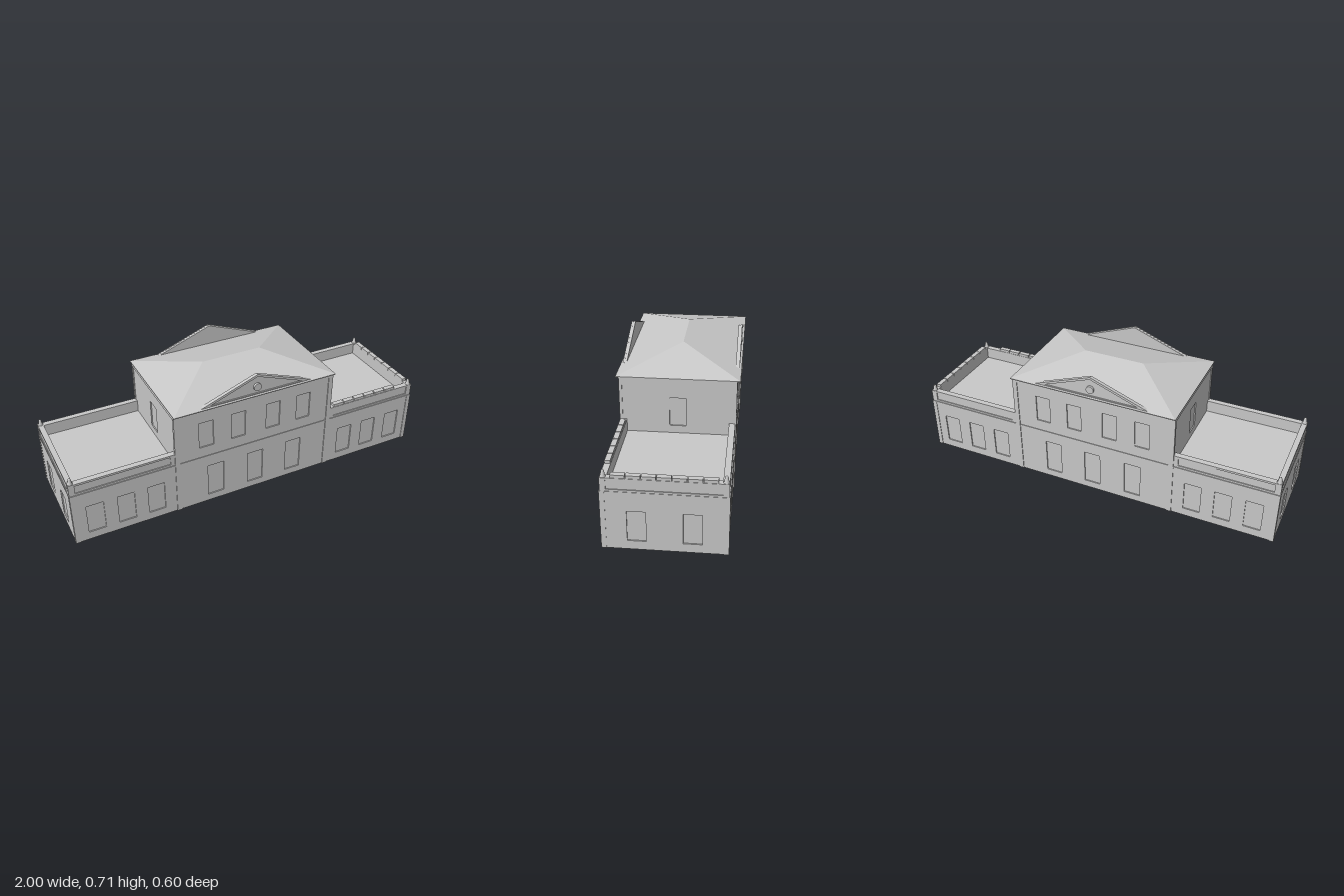
import * as THREE from 'three';
import { ConvexGeometry } from 'three/addons/geometries/ConvexGeometry.js';

const T = 0.006; // depth of the window recesses

export function createModel() {
  const model = new THREE.Group();
  const stone = new THREE.MeshStandardMaterial({ color: 0xc8c8c8 });
  stone.name = 'pale grey stone';

  function add(name, geometry) {
    const mesh = new THREE.Mesh(geometry, stone);
    mesh.name = name;
    model.add(mesh);
    return mesh;
  }
  // Box given by its limits on each axis
  function box(name, x0, x1, y0, y1, z0, z1) {
    const g = new THREE.BoxGeometry(Math.abs(x1 - x0), y1 - y0, Math.abs(z1 - z0));
    g.translate((x0 + x1) / 2, (y0 + y1) / 2, (z0 + z1) / 2);
    return add(name, g);
  }
  // Thin wall with rectangular openings [centre, width, bottom, top],
  // its outer face at a distance from the axis and turned about y
  function wall(name, w, y0, y1, openings, angle, dist, offset = 0, depth = T) {
    const shape = new THREE.Shape();
    shape.moveTo(-w / 2, y0).lineTo(w / 2, y0).lineTo(w / 2, y1).lineTo(-w / 2, y1).closePath();
    for (const [c, ow, b, t] of openings) {
      const hole = new THREE.Path();
      hole.moveTo(c - ow / 2, b).lineTo(c - ow / 2, t).lineTo(c + ow / 2, t).lineTo(c + ow / 2, b).closePath();
      shape.holes.push(hole);
    }
    const g = new THREE.ExtrudeGeometry(shape, { depth, bevelEnabled: false });
    g.translate(offset, 0, dist - depth).rotateY(angle);
    return add(name, g);
  }

  // Central block
  box('mainBlock', -0.444, 0.444, 0, 0.592, -0.277, 0.277);
  const mainOpenings = [
    ...[-0.23, 0, 0.23].map(c => [c, 0.09, 0.04, 0.23]),
    ...[-0.28, -0.1, 0.1, 0.28].map(c => [c, 0.08, 0.36, 0.51]),
  ];
  for (const a of [0, Math.PI]) {
    wall('mainWall', 0.9, 0, 0.592, mainOpenings, a, 0.283);
    wall('mainBeltCourse', 0.9, 0.292, 0.3, [], a, 0.286, 0, 0.004);
    wall('mainFrieze', 0.9, 0.568, 0.592, [], a, 0.286, 0, 0.004);
  }
  for (const s of [-1, 1]) {
    wall('mainSideWall', 0.56, 0.29, 0.592, [[0, 0.08, 0.34, 0.49]], s * Math.PI / 2, 0.45);
    wall('mainSideFrieze', 0.566, 0.568, 0.592, [], s * Math.PI / 2, 0.453, 0, 0.004);
    for (const z of [-1, 1]) {
      box('cornerPilaster', s * 0.428, s * 0.454, 0, 0.592, z * 0.272, z * 0.287);
    }
  }

  // Hipped roof
  const v = (x, y, z) => new THREE.Vector3(x, y, z);
  const roofPoints = [v(-0.165, 0.673, 0), v(0.165, 0.673, 0)];
  for (const x of [-0.457, 0.457]) for (const z of [-0.302, 0.302]) {
    roofPoints.push(v(x, 0.591, z), v(x, 0.595, z));
  }
  add('hippedRoof', new ConvexGeometry(roofPoints));

  // Pediments with recessed centre and round ornament
  function triangle(path, half, y0, y1) {
    return path.moveTo(-half, y0).lineTo(half, y0).lineTo(0, y1).closePath();
  }
  for (const a of [0, Math.PI]) {
    const back = triangle(new THREE.Shape(), 0.318, 0.594, 0.711);
    const frame = triangle(new THREE.Shape(), 0.32, 0.594, 0.712);
    frame.holes.push(triangle(new THREE.Path(), 0.26, 0.603, 0.699));
    const parts = [['pediment', back, 0.272, 0.014], ['pedimentFrame', frame, 0.284, 0.008]];
    for (const [name, shape, z, depth] of parts) {
      const g = new THREE.ExtrudeGeometry(shape, { depth, bevelEnabled: false });
      add(name, g.translate(0, 0, z).rotateY(a));
    }
    const disc = new THREE.CylinderGeometry(0.021, 0.021, 0.012, 24).rotateX(Math.PI / 2);
    add('pedimentOrnament', disc.translate(0, 0.64, 0.291).rotateY(a));
  }

  // Side wings
  const bays = [-0.16, 0, 0.16].map(c => [c, 0.09, 0.045, 0.21]);
  for (const s of [-1, 1]) {
    box('wingBlock', s * 0.44, s * 0.992, 0, 0.3, -0.277, 0.277);
    box('wingEndParapet', s * 0.97, s * 0.994, 0.29, 0.365, -0.277, 0.277);
    for (const a of [0, Math.PI]) {
      const side = a ? -1 : 1;
      const off = s * side * 0.722; // along the turned wall
      wall('wingWall', 0.552, 0, 0.296, bays, a, 0.283, off);
      wall('wingCornice', 0.556, 0.292, 0.299, [], a, 0.286, off, 0.008);
      wall('wingParapetFrame', 0.552, 0.299, 0.365, [[0, 0.49, 0.31, 0.354]], a, 0.282, off, 0.005);
      box('wingParapet', s * 0.45, s * 0.994, 0.29, 0.365, side * 0.252, side * 0.277);
      box('wingCornerStrip', s * 0.975, s * 0.9995, 0, 0.292, side * 0.262, side * 0.286);
    }
    const turn = s * Math.PI / 2;
    wall('wingEndWall', 0.566, 0, 0.296, [-0.125, 0.125].map(c => [c, 0.085, 0.045, 0.2]), turn, 0.998);
    wall('wingEndCornice', 0.572, 0.292, 0.299, [], turn, 1, 0, 0.008);
    wall('wingEndParapetFrame', 0.564, 0.299, 0.365, [[0, 0.51, 0.309, 0.354]], turn, 0.998, 0, 0.005);

    // Corner finials: base, tapered shaft and rounded tip
    for (const z of [-0.267, 0.267]) {
      const profile = [[0, 0.36], [0.014, 0.36], [0.014, 0.368], [0.011, 0.37], [0.007, 0.394], [0.004, 0.397], [0, 0.397]];
      const g = new THREE.LatheGeometry(profile.map(p => new THREE.Vector2(...p)), 12);
      add('cornerFinial', g.translate(s * 0.983, 0, z));
    }
  }

  // Raised coping blocks on the left wing
  for (let i = 0; i < 7; i++) {
    const z = (i - 3) * 0.0675;
    box('endCopingBlock', 0.97, 0.996, 0.363, 0.38, z - 0.032, z + 0.032);
  }
  for (let i = 0; i < 6; i++) {
    const x = 0.511 + i * 0.0675;
    box('frontCopingBlock', x - 0.031, x + 0.031, 0.363, 0.38, 0.254, 0.28);
  }
  return model;
}
